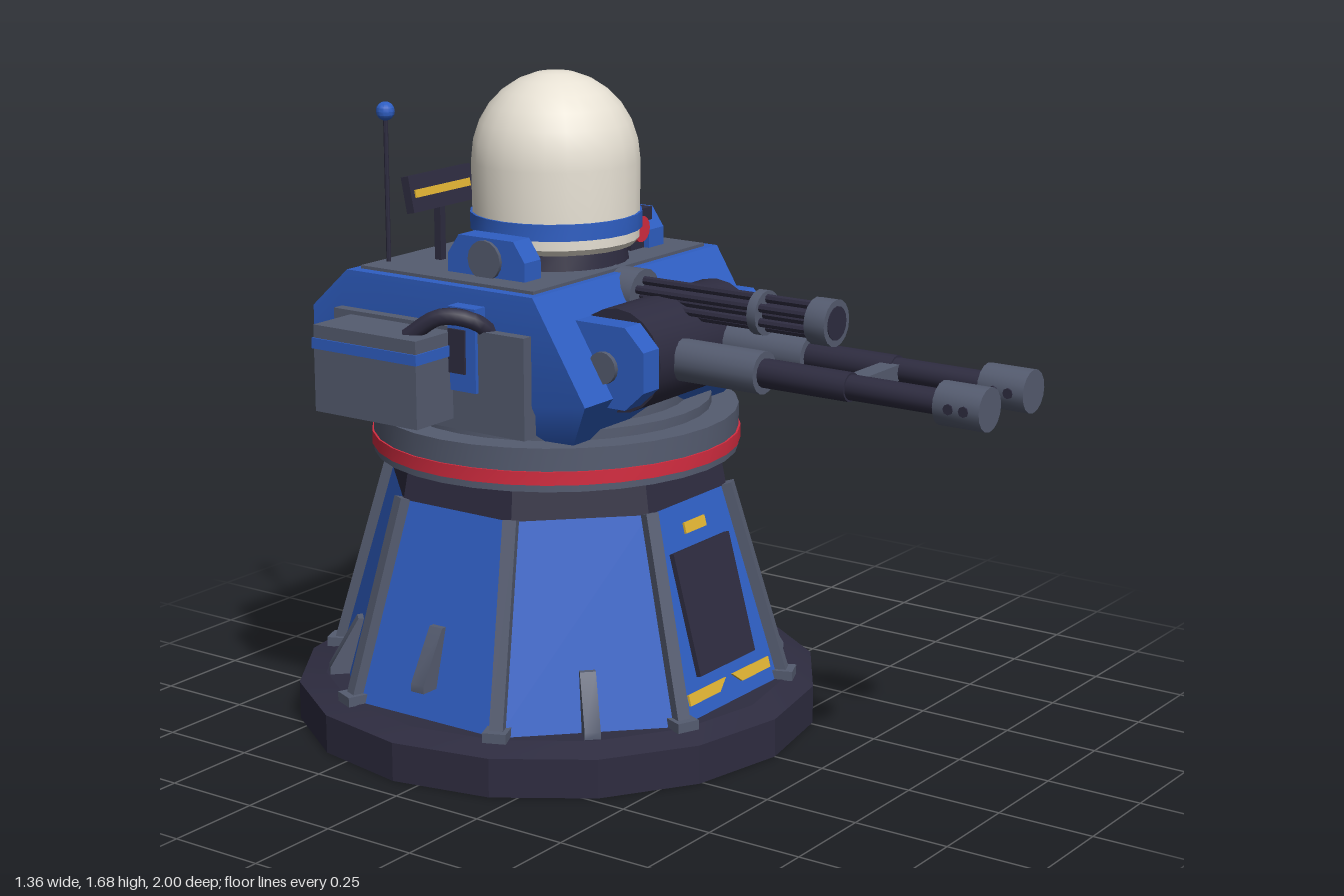
import * as THREE from 'three';
import { toCreasedNormals } from 'three/addons/utils/BufferGeometryUtils.js';

const material = (name, color) => {
  const m = new THREE.MeshStandardMaterial({ color });
  m.name = name;
  return m;
};

export function createModel() {
  const blue = material('blue paint', 0x2f5fc4);
  const dark = material('dark metal', 0x2e2c40);
  const grey = material('grey metal', 0x555c70);
  const red = material('red trim', 0xd42c40);
  const yellow = material('yellow marking', 0xe2b434);
  const cream = material('cream dome', 0xe8e2d5);

  const model = new THREE.Group();
  model.name = 'gunTurret';
  const AXIS = -0.32; // z of the tower's centre line

  const add = (name, geo, mat, x = 0, y = 0, z = 0, parent = model, crease = 0.6) => {
    const mesh = new THREE.Mesh(toCreasedNormals(geo, crease), mat);
    mesh.name = name;
    mesh.position.set(x, y, z);
    parent.add(mesh);
    return mesh;
  };
  // Box given by its lower and upper limits
  const box = (name, mat, x0, x1, y0, y1, z0, z1, parent) =>
    add(name, new THREE.BoxGeometry(x1 - x0, y1 - y0, z1 - z0), mat,
      (x0 + x1) / 2, (y0 + y1) / 2, (z0 + z1) / 2, parent);
  // Upright drum on the tower axis
  const drum = (name, mat, rBottom, rTop, y0, y1, sides, turn = 0, crease = 0.6) =>
    add(name, new THREE.CylinderGeometry(rTop, rBottom, y1 - y0, sides).rotateY(turn), mat,
      0, (y0 + y1) / 2, AXIS, model, crease);
  // Rod along z or x
  const rodZ = (name, mat, r, x, y, z0, z1, sides = 16) =>
    add(name, new THREE.CylinderGeometry(r, r, z1 - z0, sides).rotateX(Math.PI / 2), mat, x, y, (z0 + z1) / 2);
  const rodX = (name, mat, r, x0, x1, y, z, sides = 16) =>
    add(name, new THREE.CylinderGeometry(r, r, x1 - x0, sides).rotateZ(Math.PI / 2), mat, (x0 + x1) / 2, y, z);
  // Side profile of [z, y] points, extruded along x about the middle
  const profile = (points, width) => {
    const shape = new THREE.Shape(points.map(p => new THREE.Vector2(...p)));
    return new THREE.ExtrudeGeometry(shape, { depth: width, bevelEnabled: false })
      .translate(0, 0, -width / 2).rotateY(-Math.PI / 2);
  };

  // Foundation and eight-sided tower
  drum('foundation', dark, 0.68, 0.68, 0, 0.1, 16, 0, 0.3);
  drum('foundationLip', dark, 0.68, 0.61, 0.1, 0.122, 16, 0, 0.3);
  drum('tower', blue, 0.597, 0.445, 0.12, 0.63, 8, Math.PI / 8);
  drum('towerCollar', dark, 0.447, 0.43, 0.63, 0.72, 8, Math.PI / 8);

  // Corner ribs with feet, and a fin on every face but the front
  const lean = Math.atan2(0.152, 0.51);
  const faceZ = y => 0.551 - (y - 0.12) * 0.275;
  for (let i = 0; i < 8; i++) {
    const corner = new THREE.Group();
    corner.name = 'towerCorner';
    corner.position.z = AXIS;
    corner.rotation.y = (i + 0.5) * Math.PI / 4;
    model.add(corner);
    const rib = add('cornerRib', new THREE.BoxGeometry(0.035, 0.535, 0.035), grey, 0, 0.378, 0.523, corner);
    rib.rotation.x = -lean;
    box('ribFoot', grey, -0.03, 0.03, 0.12, 0.145, 0.57, 0.63, corner);
    if (i === 0) continue;
    const y = i % 2 ? 0.12 : 0.2;
    const fin = add('faceFin', profile([
      [faceZ(y) - 0.02, y], [faceZ(y) + 0.05, y], [faceZ(y) + 0.05, y + 0.02],
      [faceZ(y + 0.15) + 0.015, y + 0.15], [faceZ(y + 0.15) - 0.02, y + 0.15],
    ], 0.04), grey, 0, 0, AXIS);
    fin.position.z = AXIS;
    fin.rotation.y = i * Math.PI / 4;
  }

  // Hatch and markings lying on the sloped front face
  const front = new THREE.Group();
  front.name = 'frontPanel';
  front.position.set(0, 0.12, AXIS + 0.553);
  front.rotation.x = -Math.atan(0.275);
  model.add(front);
  box('hatch', dark, -0.123, 0.123, 0.1, 0.415, -0.01, 0.012, front);
  box('upperMarking', yellow, -0.045, 0.045, 0.45, 0.478, 0, 0.006, front);
  for (const s of [-1, 1]) {
    const stripe = new THREE.Shape([[0.05, 0.04], [0.18, 0.04], [0.18, 0.068], [0.015, 0.068]]
      .map(([x, y]) => new THREE.Vector2(s * x, y)));
    add('lowerMarking', new THREE.ExtrudeGeometry(stripe, { depth: 0.006, bevelEnabled: false }), yellow, 0, 0, 0, front);
  }

  // Turntable
  drum('turntable', grey, 0.47, 0.47, 0.715, 0.825, 32);
  drum('turntableStripe', red, 0.475, 0.475, 0.733, 0.767, 32);
  drum('turntableStep', grey, 0.4, 0.4, 0.825, 0.85, 32);
  drum('turntableHub', grey, 0.34, 0.34, 0.85, 0.88, 32);

  // Armoured body, narrowed at its lower front edge
  const bodyGeo = profile([[-0.79, 0.825], [-0.02, 0.825], [0.065, 0.945], [-0.09, 1.195], [-0.675, 1.195], [-0.79, 1.09]], 0.79);
  const pos = bodyGeo.attributes.position;
  for (let i = 0; i < pos.count; i++) {
    if (pos.getY(i) < 0.83 && pos.getZ(i) > -0.1) pos.setX(i, pos.getX(i) * 0.83);
  }
  add('body', bodyGeo, blue);
  box('roofPlate', grey, -0.365, 0.365, 1.19, 1.203, -0.655, -0.11);

  // Mirrored side equipment
  for (const s of [-1, 1]) {
    const sideBox = (name, mat, x0, x1, ...rest) =>
      box(name, mat, Math.min(s * x0, s * x1), Math.max(s * x0, s * x1), ...rest);
    sideBox('sidePlate', grey, 0.38, 0.425, 0.845, 1.1, -0.695, -0.095);
    sideBox('sideBracket', blue, 0.38, 0.435, 0.945, 1.155, -0.32, -0.235);
    sideBox('bracketInset', dark, 0.4, 0.441, 0.99, 1.1, -0.315, -0.265);
    sideBox('ammoBox', grey, 0.42, 0.565, 0.87, 1.09, -0.64, -0.315);
    sideBox('ammoBoxStripe', blue, 0.425, 0.569, 1.03, 1.057, -0.644, -0.311);
    const hose = new THREE.CatmullRomCurve3([[0.39, 1.09, -0.22], [0.43, 1.125, -0.24], [0.475, 1.135, -0.31], [0.505, 1.08, -0.39]]
      .map(([x, y, z]) => new THREE.Vector3(s * x, y, z)));
    add('feedHose', new THREE.TubeGeometry(hose, 12, 0.022, 8), dark, 0, 0, 0, model, 1);

    // Dome support with pivot
    add('domeSupport', profile([[-0.43, 1.2], [-0.19, 1.2], [-0.19, 1.25], [-0.225, 1.3], [-0.395, 1.3], [-0.43, 1.25]], 0.065),
      blue, s * 0.262);
    rodX('domePivot', grey, 0.05, s * 0.262 - 0.042, s * 0.262 + 0.042, 1.245, -0.31);

    // Gun cradle cheek
    add('cradleCheek', profile([[-0.05, 0.92], [0.1, 0.92], [0.155, 0.97], [0.155, 1.07], [0.1, 1.125], [-0.05, 1.125]], 0.065),
      blue, s * 0.248);
    rodX('cradlePivot', grey, 0.04, s * 0.248 - 0.045, s * 0.248 + 0.045, 1.02, 0.04);

    // Main gun
    const x = s * 0.105;
    rodZ('gunSleeve', grey, 0.053, x, 1.02, 0.1, 0.387);
    rodZ('barrelBase', dark, 0.036, x, 1.02, 0.387, 0.63);
    rodZ('barrel', dark, 0.031, x, 1.02, 0.63, 0.9);
    rodZ('muzzleBrake', grey, 0.053, x, 1.02, 0.878, 1);
    for (const z of [0.92, 0.96]) rodX('muzzleVent', dark, 0.013, x - 0.055, x + 0.055, 1.02, z, 8);
  }
  rodX('gunMantlet', dark, 0.13, -0.215, 0.215, 1.022, 0.03, 20);
  box('barrelBridge', grey, -0.09, 0.09, 1.0, 1.04, 0.6, 0.65);

  // Rotary gun above the mantlet
  rodZ('rotaryHousing', grey, 0.065, 0, 1.14, -0.17, -0.04);
  rodZ('rotaryCore', dark, 0.025, 0, 1.14, -0.04, 0.47, 8);
  for (let i = 0; i < 6; i++) {
    const a = i * Math.PI / 3;
    rodZ('rotaryBarrel', dark, 0.011, 0.036 * Math.sin(a), 1.14 + 0.036 * Math.cos(a), -0.05, 0.5, 8);
  }
  rodZ('rotaryClamp', grey, 0.056, 0, 1.14, 0.3, 0.325);
  rodZ('rotaryMuzzle', grey, 0.058, 0, 1.14, 0.465, 0.522);
  rodZ('rotaryMuzzleFace', dark, 0.042, 0, 1.14, 0.52, 0.524);

  // Sensor dome
  drum('domeNeck', dark, 0.19, 0.18, 1.2, 1.25, 24);
  const domePoints = [new THREE.Vector2(0, 1.245), new THREE.Vector2(0.2, 1.245), new THREE.Vector2(0.212, 1.26)];
  for (let i = 0; i <= 7; i++) {
    const a = i / 7 * Math.PI / 2;
    domePoints.push(new THREE.Vector2(i === 7 ? 0 : 0.215 * Math.cos(a), 1.455 + 0.225 * Math.sin(a)));
  }
  add('dome', new THREE.LatheGeometry(domePoints, 24), cream, 0, 0, -0.315);
  drum('domeBand', blue, 0.219, 0.219, 1.285, 1.327, 24).position.z = -0.315;

  // Targeting eye beside the dome
  box('eyeHousing', dark, 0.17, 0.265, 1.2, 1.305, -0.36, -0.205);
  rodZ('eyeLens', red, 0.034, 0.2, 1.257, -0.21, -0.19);

  // Rear sensor panel and aerial
  box('sensorPost', dark, -0.2, -0.18, 1.195, 1.38, -0.55, -0.53);
  const sensor = new THREE.Group();
  sensor.name = 'sensorPanel';
  sensor.position.set(-0.192, 1.385, -0.54);
  sensor.rotation.x = -0.2;
  model.add(sensor);
  box('panel', dark, -0.122, 0.122, -0.046, 0.046, -0.012, 0.012, sensor);
  box('panelMarking', yellow, -0.108, 0.108, -0.01, 0.01, 0.01, 0.016, sensor);
  add('aerial', new THREE.CylinderGeometry(0.006, 0.006, 0.38, 8), dark, -0.288, 1.385, -0.628);
  add('aerialTip', new THREE.SphereGeometry(0.024, 12, 8), blue, -0.288, 1.585, -0.628);

  return model;
}
